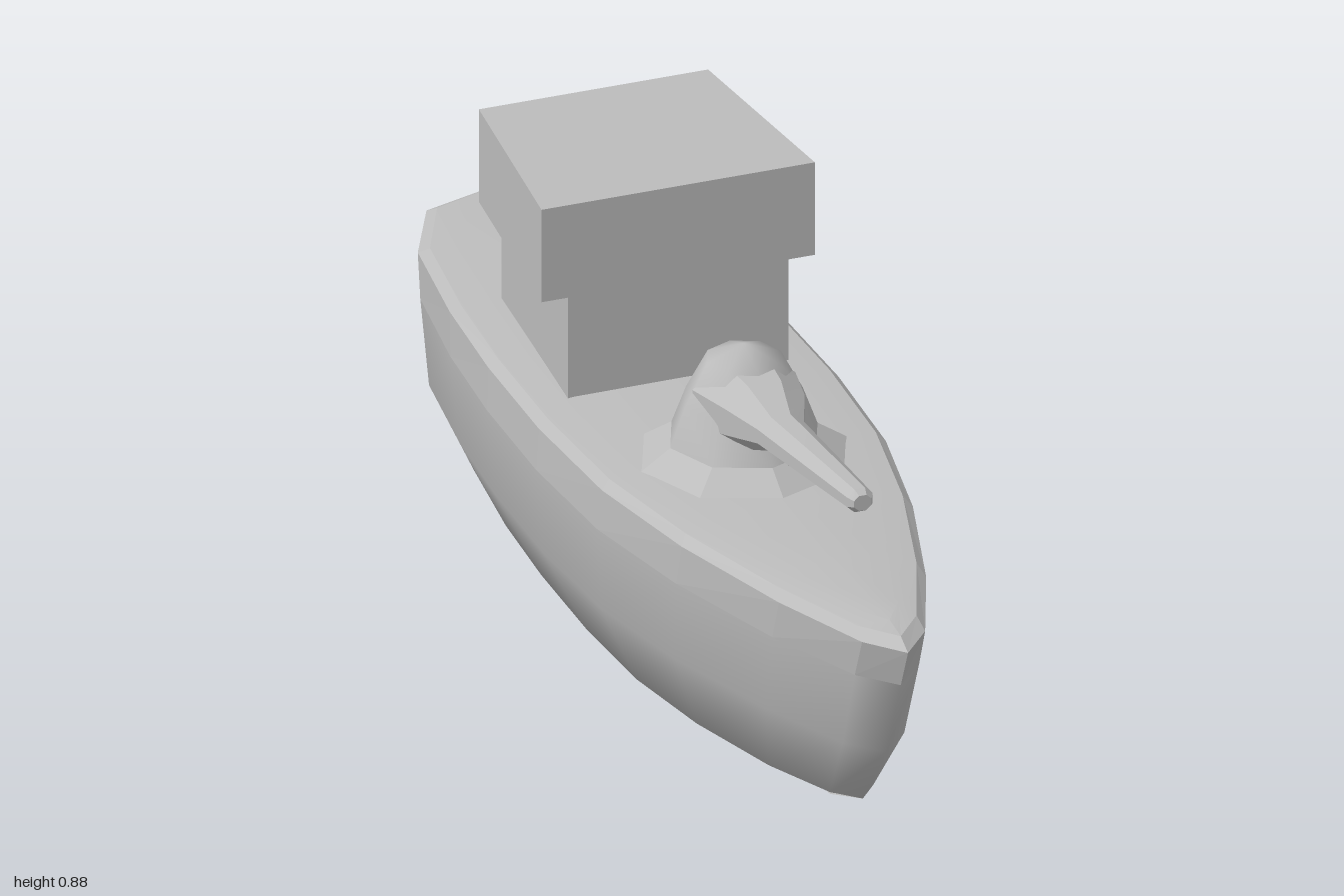
import * as THREE from 'three';
import { mergeVertices, toCreasedNormals } from 'three/addons/utils/BufferGeometryUtils.js';

// Skin closed rings of [x, y, z] points; optionally close the last ring with a fan.
function loft(rings, cap = false) {
  const n = rings[0].length, index = [];
  const points = rings.flat();
  for (let i = 0; i < rings.length - 1; i++) {
    for (let j = 0; j < n; j++) {
      const a = i * n + j, b = i * n + (j + 1) % n;
      index.push(a, b, b + n, a, b + n, a + n);
    }
  }
  if (cap) {
    const s = (rings.length - 1) * n;
    for (let j = 1; j < n - 1; j++) index.push(s, s + j, s + j + 1);
  }
  const geo = new THREE.BufferGeometry();
  geo.setAttribute('position', new THREE.Float32BufferAttribute(points.flat(), 3));
  geo.setIndex(index);
  return geo;
}

function smooth(geo) {
  const merged = mergeVertices(geo, 1e-4);
  merged.computeVertexNormals();
  return merged;
}

function flat(geo) {
  const g = geo.toNonIndexed();
  g.computeVertexNormals();
  return g;
}

// Half outline of the hull from bow to stern: [half width, z]
const HALF = [
  [0, 1], [0.06, 0.93], [0.14, 0.73], [0.22, 0.46], [0.27, 0.2], [0.285, -0.07],
  [0.28, -0.33], [0.263, -0.56], [0.23, -0.8], [0.155, -0.95], [0, -1],
];
const OUTLINE = [...HALF, ...HALF.slice(1, -1).reverse().map(([x, z]) => [-x, z])];

// One hull ring: height, width scale, bow and stern length, upward curve at the ends
function hullRing([y, width, bow, stern, rise = 0]) {
  return OUTLINE.map(([x, z]) => [x * width, y + rise * z ** 4, z * (z > 0 ? bow : stern)]);
}

// Block that narrows towards the stern
function taperedBlock(halfFront, halfBack, y0, y1, zFront, zBack) {
  const geo = new THREE.BoxGeometry(2, y1 - y0, zFront - zBack);
  geo.translate(0, (y0 + y1) / 2, (zFront + zBack) / 2);
  const p = geo.attributes.position;
  const middle = (zFront + zBack) / 2;
  for (let i = 0; i < p.count; i++) {
    p.setX(i, p.getX(i) * (p.getZ(i) > middle ? halfFront : halfBack));
  }
  return flat(geo);
}

export function createModel() {
  const model = new THREE.Group();
  model.name = 'gunboat';
  const grey = new THREE.MeshStandardMaterial({ color: 0xbcbcbc });
  grey.name = 'grey';

  const add = (name, geo, parent = model) => {
    const mesh = new THREE.Mesh(geo, grey);
    mesh.name = name;
    parent.add(mesh);
    return mesh;
  };

  // Rounded hull from keel to the rim
  add('hull', smooth(loft([
    [0.004, 0, 0.62, 0.75, 0.016],
    [0.065, 0.69, 0.78, 0.885, 0.02],
    [0.23, 0.975, 0.895, 0.95],
    [0.395, 1.02, 0.965, 0.97],
  ].map(hullRing))));

  // Faceted rim
  add('rim', flat(loft([
    [0.395, 1.02, 0.965, 0.97],
    [0.475, 1, 1, 1],
    [0.492, 0.94, 0.965, 0.97],
  ].map(hullRing))));

  // Slightly cambered deck
  add('deck', toCreasedNormals(loft([
    [0.492, 0.94, 0.965, 0.97],
    [0.499, 0.7, 0.91, 0.92],
    [0.5, 0, 0.88, 0.9],
  ].map(hullRing)), 0.3));

  // Bridge with an overhanging upper storey
  const bridge = new THREE.Group();
  bridge.name = 'bridge';
  model.add(bridge);
  add('lowerBridge', taperedBlock(0.21, 0.175, 0.485, 0.7, -0.12, -0.533), bridge);
  add('upperBridge', taperedBlock(0.26, 0.218, 0.697, 0.88, -0.12, -0.533), bridge);

  // Gun turret: skirt, dome and flared barrel
  const turret = new THREE.Group();
  turret.name = 'turret';
  model.add(turret);
  const lathe = pts => new THREE.LatheGeometry(pts.map(([r, y]) => new THREE.Vector2(r, y)), 8);
  const skirt = add('turretSkirt', flat(lathe([[0.2, 0.495], [0.14, 0.535]])), turret);
  const dome = add('turretDome', smooth((() => {
    const g = lathe([[0.14, 0.535], [0.112, 0.61], [0.07, 0.69], [0, 0.718]]);
    g.deleteAttribute('normal');
    g.deleteAttribute('uv');
    return g;
  })()), turret);
  skirt.position.z = dome.position.z = 0.2;

  // Barrel stations: z, centre height, half width, half height
  const stations = [
    [0.2, 0.61, 0.1, 0.08], [0.3, 0.622, 0.078, 0.064], [0.38, 0.624, 0.045, 0.034],
    [0.765, 0.669, 0.025, 0.023], [0.78, 0.67, 0.017, 0.015],
  ];
  add('gunBarrel', toCreasedNormals(loft(stations.map(([z, y, rx, ry]) =>
    Array.from({ length: 8 }, (_, k) => {
      const a = (k + 0.5) * Math.PI / 4;
      return [Math.cos(a) * rx * 1.06, y + Math.sin(a) * ry * 1.06, z];
    })), true), 0.5), turret);

  return model;
}
